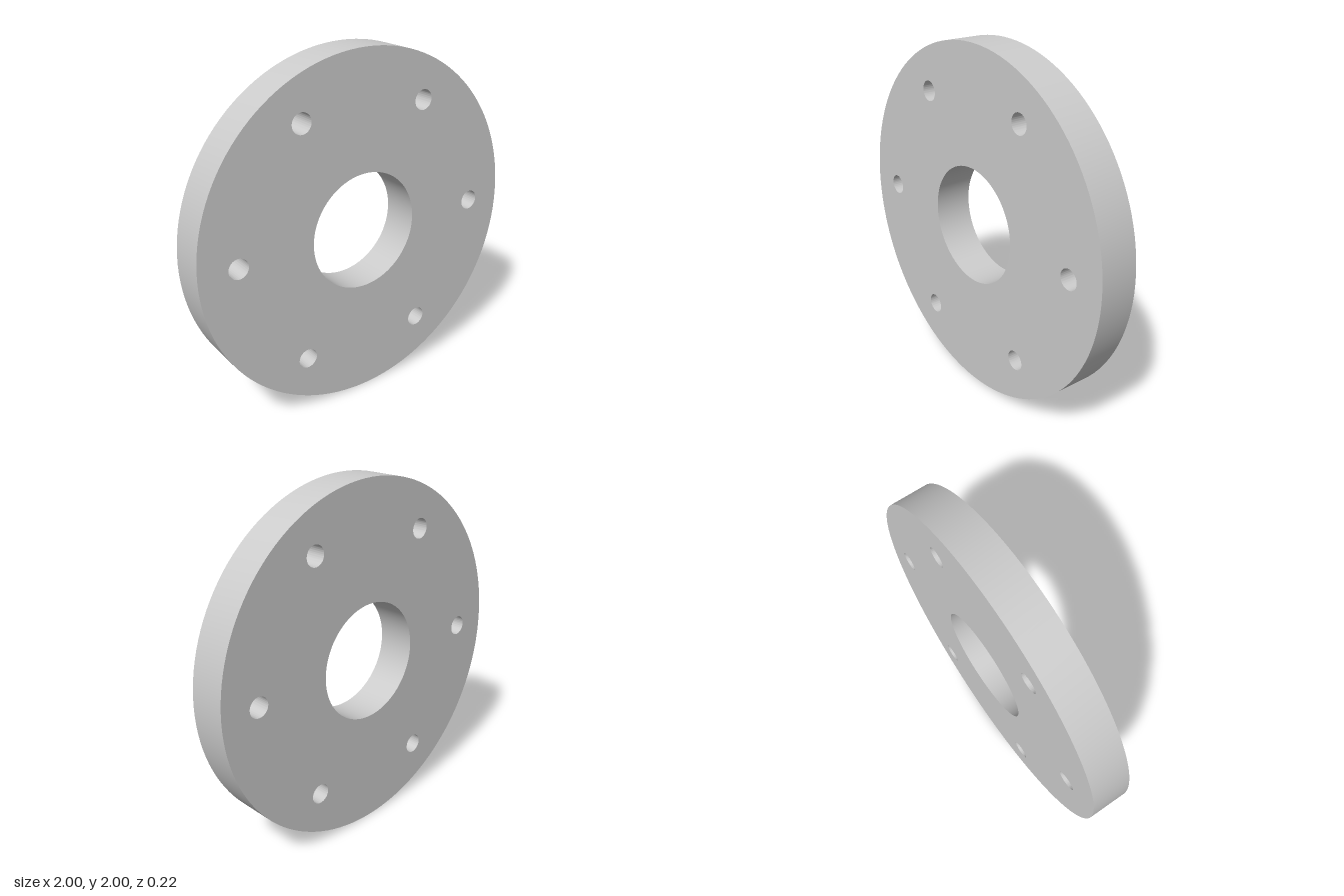
import * as THREE from 'three';
import { toCreasedNormals } from 'three/addons/utils/BufferGeometryUtils.js';

const RADIUS = 1;
const THICKNESS = 0.22;
const BORE_RADIUS = 0.335;
const BOLT_COUNT = 6;
const BOLT_CIRCLE = 0.777;
const BOLT_RADIUS = 0.057;

function circle(PathType, x, y, radius) {
  const path = new PathType();
  path.absarc(x, y, radius, 0, Math.PI * 2, false);
  return path;
}

export function createModel() {
  const model = new THREE.Group();
  model.name = 'flange';

  // Round plate with a central bore
  const outline = circle(THREE.Shape, 0, 0, RADIUS);
  outline.holes.push(circle(THREE.Path, 0, 0, BORE_RADIUS));

  // Ring of bolt holes
  for (let i = 0; i < BOLT_COUNT; i++) {
    const a = (i / BOLT_COUNT) * Math.PI * 2;
    outline.holes.push(
      circle(THREE.Path, Math.cos(a) * BOLT_CIRCLE, Math.sin(a) * BOLT_CIRCLE, BOLT_RADIUS)
    );
  }

  const geometry = new THREE.ExtrudeGeometry(outline, {
    depth: THICKNESS,
    bevelEnabled: false,
    curveSegments: 64,
  });
  geometry.translate(0, RADIUS, -THICKNESS / 2);

  // Smooth round walls, sharp rims
  const plate = new THREE.Mesh(
    toCreasedNormals(geometry, 0.6),
    new THREE.MeshStandardMaterial({ color: 0xcccccc })
  );
  plate.name = 'flangePlate';
  model.add(plate);

  return model;
}
